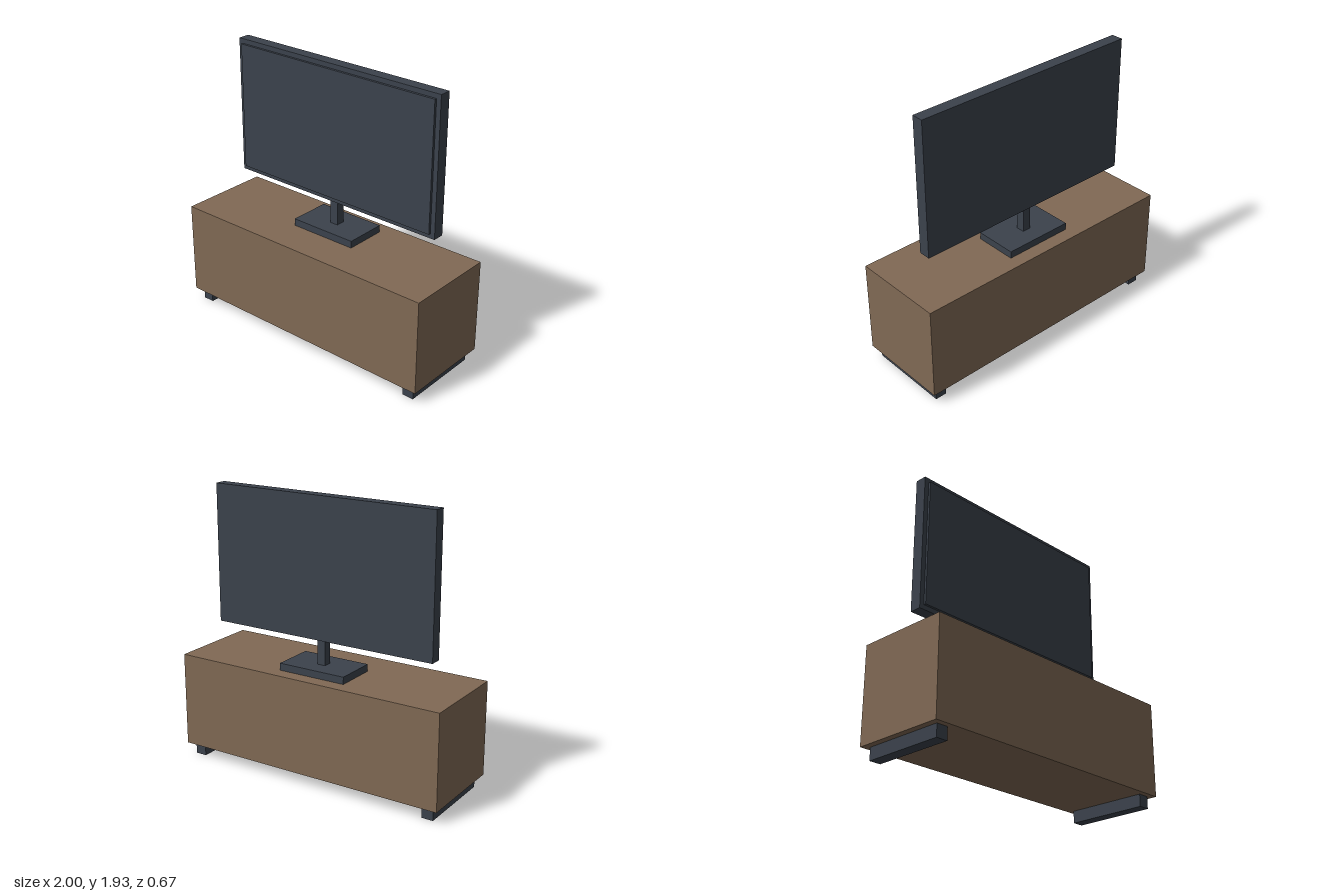
import * as THREE from 'three';

export function createModel() {
  const model = new THREE.Group();
  model.name = 'televisionOnCabinet';

  const wood = new THREE.MeshStandardMaterial({ color: 0x806954 });
  wood.name = 'brown wood';
  const dark = new THREE.MeshStandardMaterial({ color: 0x3b424c });
  dark.name = 'dark slate';

  // Adds a box given its [min, max] extent along each axis
  function addBox(name, material, [x0, x1], [y0, y1], [z0, z1], parent = model) {
    const mesh = new THREE.Mesh(new THREE.BoxGeometry(x1 - x0, y1 - y0, z1 - z0), material);
    mesh.position.set((x0 + x1) / 2, (y0 + y1) / 2, (z0 + z1) / 2);
    mesh.name = name;
    parent.add(mesh);
  }

  // Cabinet on two long runners
  const cabinet = new THREE.Group();
  cabinet.name = 'cabinet';
  model.add(cabinet);
  addBox('cabinetBody', wood, [-1, 1], [0.085, 0.75], [-0.333, 0.333], cabinet);
  for (const [name, x] of [['leftRunner', 0.915], ['rightRunner', -0.915]]) {
    addBox(name, dark, [x - 0.041, x + 0.041], [0, 0.085], [-0.292, 0.292], cabinet);
  }

  // Television: stand, frame and raised screen panel
  const television = new THREE.Group();
  television.name = 'television';
  model.add(television);
  addBox('standBase', dark, [-0.25, 0.25], [0.75, 0.80], [-0.235, 0.067], television);
  addBox('standPost', dark, [-0.03, 0.03], [0.80, 0.97], [-0.115, -0.052], television);
  addBox('frame', dark, [-0.833, 0.833], [0.97, 1.935], [-0.125, -0.042], television);
  addBox('screen', dark, [-0.80, 0.80], [1.003, 1.902], [-0.042, -0.025], television);

  return model;
}
